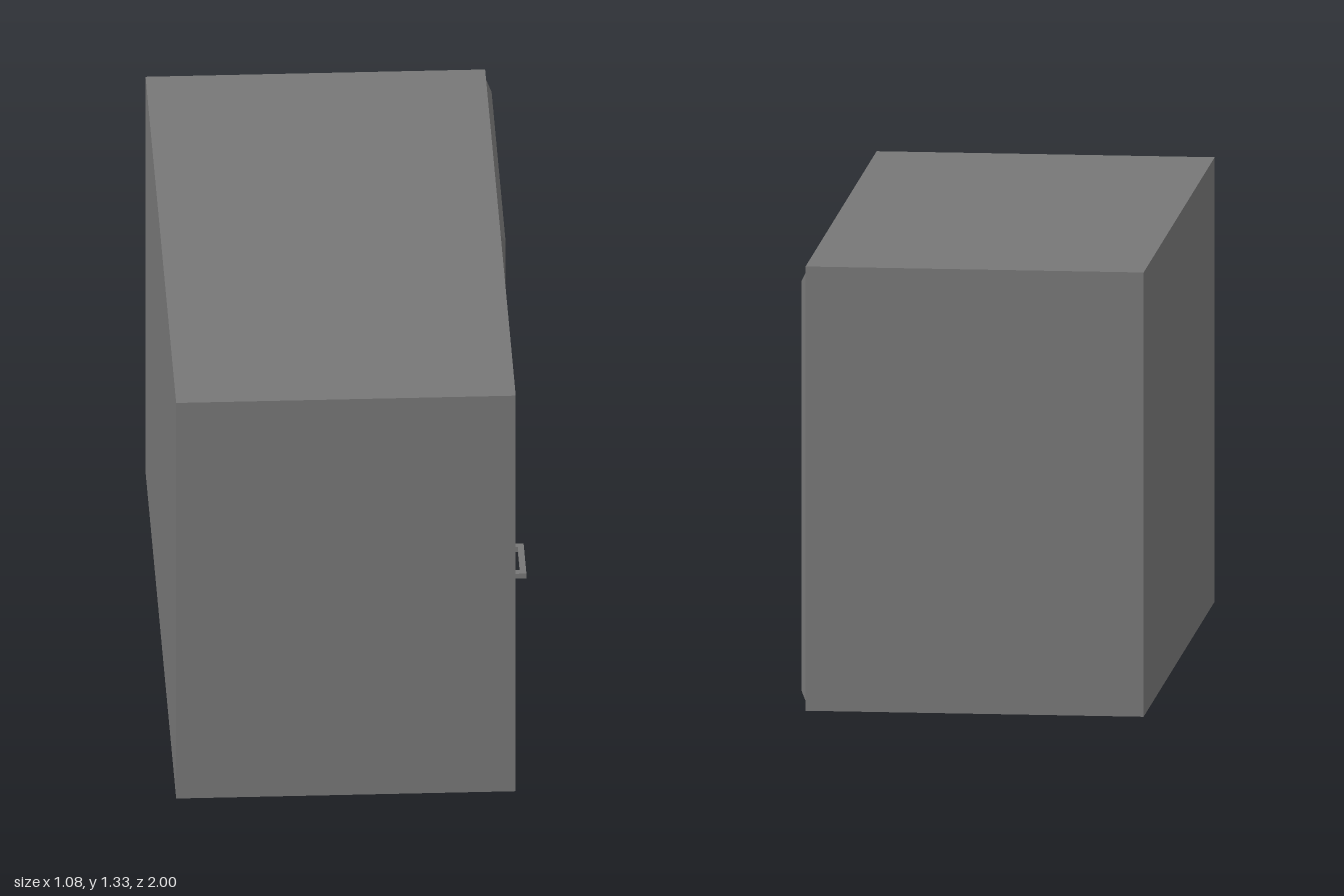
import * as THREE from 'three';

const material = new THREE.MeshStandardMaterial({ color: 0x777777, flatShading: true });

// Box given by its minimum and maximum corners
function box(name, [x0, y0, z0], [x1, y1, z1]) {
  const geometry = new THREE.BoxGeometry(x1 - x0, y1 - y0, z1 - z0);
  geometry.translate((x0 + x1) / 2, (y0 + y1) / 2, (z0 + z1) / 2);
  const mesh = new THREE.Mesh(geometry, material);
  mesh.name = name;
  return mesh;
}

export function createModel() {
  const cabinet = new THREE.Group();
  cabinet.name = 'wallCabinet';

  const back = -0.54, front = 0.459, height = 1.325, t = 0.018;
  const innerBack = -0.345;

  // Carcass, open towards +x
  cabinet.add(
    box('bottomPanel', [back, 0, -1], [front, t, 1]),
    box('topPanel', [back, height - t, -1], [front, height, 1]),
    box('leftOpenSidePanel', [back, t, 1 - t], [front, height - t, 1]),
    box('doorSidePanel', [back, t, -1], [front, height - t, -1 + t]),
    box('backPanel', [back, t, -1 + t], [innerBack, height - t, 1 - t]),
    // Shallow upright between the open bay and the door
    box('centreStile', [front - 0.1, t, -0.022], [front, height - t, 0.02]),
  );

  // Door whose front face is drawn in to form the bevel
  const y0 = 0.02, y1 = 1.307, z0 = -0.979, z1 = -0.022;
  const doorFront = 0.476, bevelY = 0.034, bevelZ = 0.022;
  const slab = box('doorSlab', [front - 0.02, y0, z0], [front, y1, z1]);
  const panel = box('doorBevelledFace', [front, y0, z0], [doorFront, y1, z1]);
  const p = panel.geometry.attributes.position;
  const midX = (front + doorFront) / 2, midY = (y0 + y1) / 2, midZ = (z0 + z1) / 2;
  for (let i = 0; i < p.count; i++) {
    if (p.getX(i) < midX) continue;
    p.setY(i, p.getY(i) - Math.sign(p.getY(i) - midY) * bevelY);
    p.setZ(i, p.getZ(i) - Math.sign(p.getZ(i) - midZ) * bevelZ);
  }
  panel.geometry.computeVertexNormals();
  const door = new THREE.Group();
  door.name = 'door';
  door.add(slab, panel);

  // Bar handle on two posts
  const handle = new THREE.Group();
  handle.name = 'doorHandle';
  handle.add(box('handleBar', [0.522, 0.11, -0.285], [0.54, 0.126, -0.1]));
  for (const z of [-0.285, -0.122]) {
    handle.add(box('handlePost', [doorFront, 0.11, z], [0.522, 0.126, z + 0.022]));
  }
  door.add(handle);
  cabinet.add(door);

  return cabinet;
}
